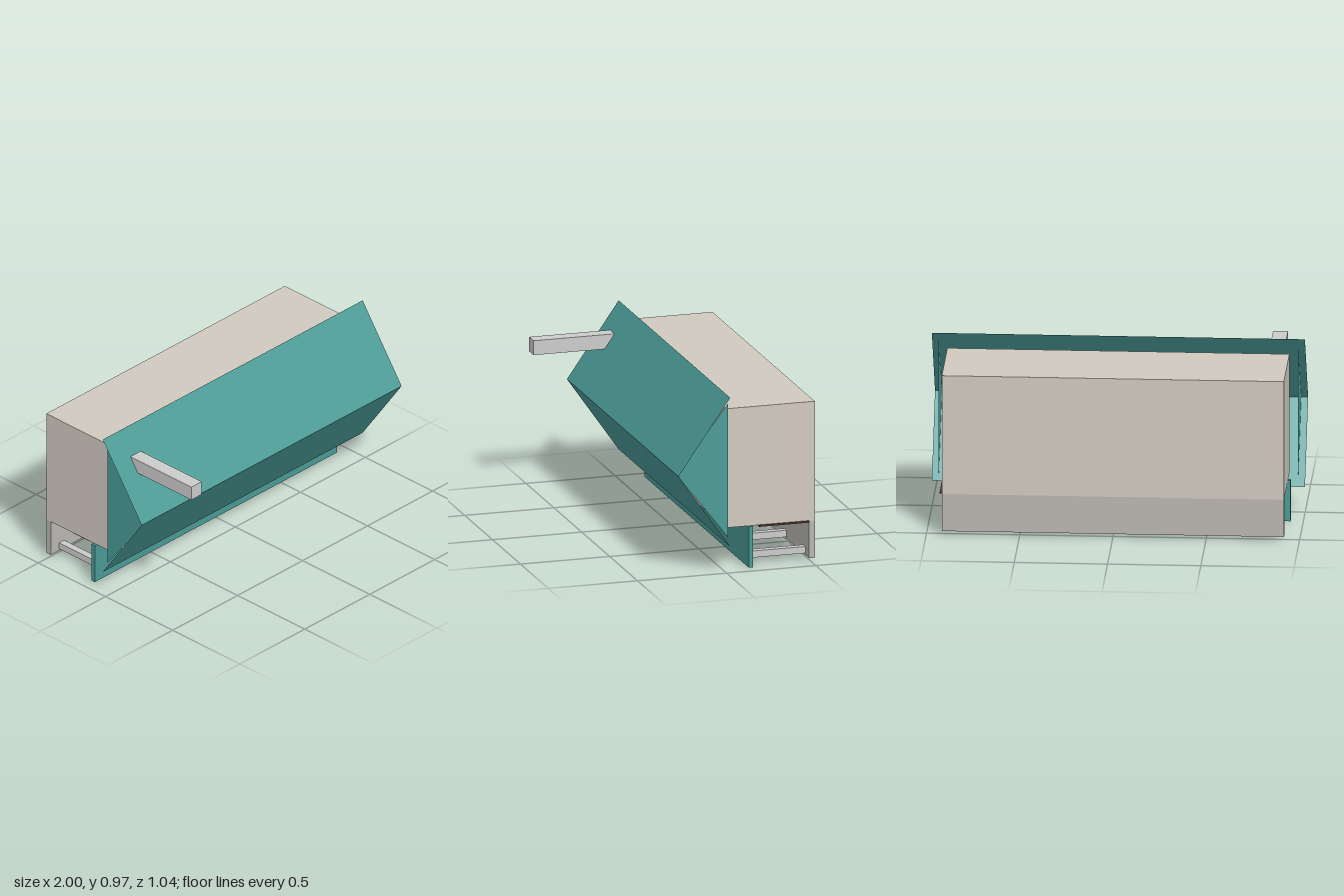
import * as THREE from 'three';

const mat = (color, extra = {}) => new THREE.MeshStandardMaterial({ color, flatShading: true, ...extra });

export function createModel() {
  const root = new THREE.Group();
  const stone = mat(0xd0c9bf), trim = mat(0xbab7b2), grey = mat(0xcccccc);
  const teal = mat(0x4a9a96), brown = mat(0x5a3f3a), glass = mat(0x35404d);
  const tealSheet = mat(0x4a9a96, { side: THREE.DoubleSide });

  const add = (name, geometry, material) => {
    const mesh = new THREE.Mesh(geometry, material);
    mesh.name = name;
    root.add(mesh);
    return mesh;
  };
  // Box given by its minimum and maximum on each axis
  const box = (name, material, [x0, x1], [y0, y1], [z0, z1]) => {
    const mesh = add(name, new THREE.BoxGeometry(x1 - x0, y1 - y0, z1 - z0), material);
    mesh.position.set((x0 + x1) / 2, (y0 + y1) / 2, (z0 + z1) / 2);
    return mesh;
  };

  // Main housing and the panel hanging below its back edge
  box('housing', stone, [-0.917, 0.917], [0.228, 0.89], [-0.52, -0.02]);
  box('backPanel', trim, [-0.917, 0.917], [0.02, 0.228], [-0.52, -0.487]);

  // Folded front cover: a thin sheet creased along its middle
  const half = 0.414, nose = 0.27, rear = -0.02;
  const sheet = new THREE.PlaneGeometry(2, half * 2, 1, 2);
  const p = sheet.attributes.position;
  for (let i = 0; i < p.count; i++) {
    p.setZ(i, nose - (nose - rear) * Math.abs(p.getY(i)) / half);
  }
  sheet.computeVertexNormals();
  add('frontCover', sheet, tealSheet).position.y = 0.56;

  // Triangular end plates, set in from the ends of the cover
  const triangle = new THREE.Shape([
    new THREE.Vector2(-nose, 0.56),
    new THREE.Vector2(-rear, 0.187),
    new THREE.Vector2(-rear, 0.933),
  ]);
  for (const side of [-1, 1]) {
    const plate = add('coverEnd', new THREE.ShapeGeometry(triangle), tealSheet);
    plate.rotation.y = Math.PI / 2;
    plate.position.x = side * 0.963;
  }

  // Pole reaching out through the cover
  box('pole', grey, [-0.877, -0.797], [0.77, 0.85], [-0.02, 0.52]);

  // Skirt under the housing, with cross bars to the back panel
  box('skirt', teal, [-0.932, 0.932], [0, 0.228], [-0.17, -0.145]);
  for (let i = 0; i < 6; i++) {
    const x = -0.833 + i * 0.333;
    box('crossBar', grey, [x - 0.02, x + 0.02], [0.03, 0.067], [-0.487, -0.17]);
  }

  // Underside frame with dark panes
  box('undersideFrame', brown, [-0.91, 0.93], [0.221, 0.229], [-0.487, -0.205]);
  for (let i = 0; i < 6; i++) {
    const x = -0.75 + i * 0.304;
    box('undersidePane', glass, [x - 0.13, x + 0.13], [0.22, 0.224], [-0.455, -0.235]);
  }
  return root;
}
